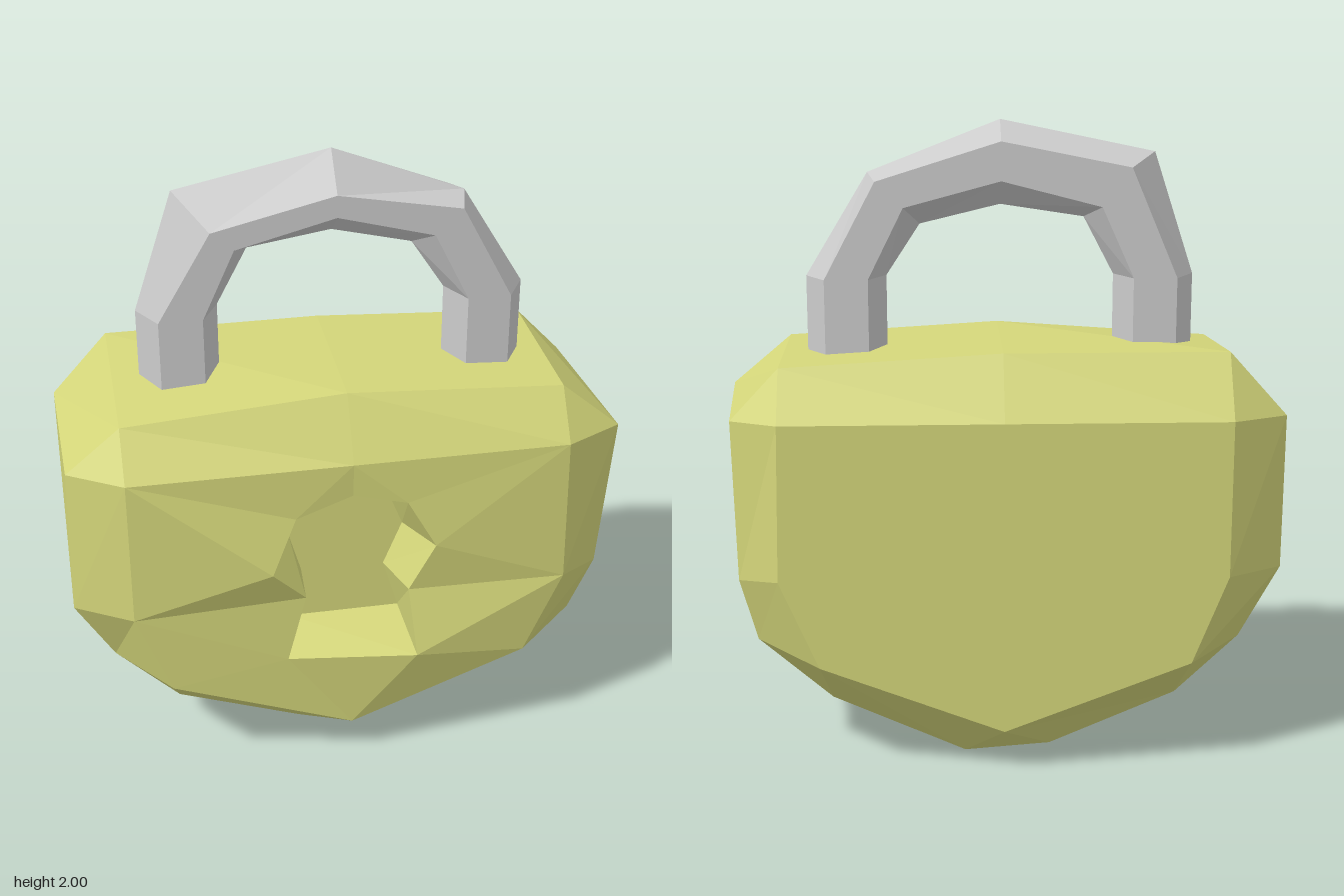
import * as THREE from 'three';

// Joins consecutive closed rings (equal point counts) with triangles; collapsed ones are skipped.
function loft(rings) {
  const out = [];
  const same = (p, q) => p.every((v, k) => Math.abs(v - q[k]) < 1e-6);
  const tri = (a, b, c) => {
    if (!same(a, b) && !same(b, c) && !same(a, c)) out.push(...a, ...b, ...c);
  };
  for (let r = 0; r + 1 < rings.length; r++) {
    const A = rings[r], B = rings[r + 1], n = A.length;
    for (let i = 0; i < n; i++) {
      const j = (i + 1) % n;
      tri(A[i], A[j], B[i]);
      tri(A[j], B[j], B[i]);
    }
  }
  return out;
}

function facetedMesh(name, color, positions) {
  const geo = new THREE.BufferGeometry();
  geo.setAttribute('position', new THREE.Float32BufferAttribute(positions, 3));
  geo.computeVertexNormals();
  const mesh = new THREE.Mesh(geo, new THREE.MeshStandardMaterial({ color, flatShading: true }));
  mesh.name = name;
  return mesh;
}

const pick = (ring, order) => order.map((i) => ring[i]);
const atZ = (ring, z) => ring.map(([x, y]) => [x, y, z]);
const point = (p, n) => Array.from({ length: n }, () => p);
const centre = (ring) => [0, 1, 2].map((k) => ring.reduce((s, p) => s + p[k], 0) / ring.length);

// Body: keyhole floor, keyhole rim, front face edge, side rings, back face edge
function makeBody() {
  const face = [[-0.69, 1.13], [0, 1.13], [0.68, 1.13], [0.69, 0.64],
    [0.57, 0.36], [0, 0.14], [-0.58, 0.36], [-0.69, 0.64]];
  const front = atZ(face, 0.35), back = atZ(face, -0.41);

  const rim = [[0, 1.02, 0.345], [0.17, 0.98, 0.355], [0.26, 0.82, 0.37], [0.18, 0.65, 0.35],
    [0.2, 0.43, 0.41], [-0.21, 0.43, 0.355], [-0.15, 0.66, 0.35], [-0.26, 0.79, 0.4], [-0.18, 0.96, 0.355]];
  const floor = atZ([[0, 0.98], [0.13, 0.95], [0.19, 0.8], [0.13, 0.65],
    [0.18, 0.48], [-0.18, 0.48], [-0.14, 0.66], [-0.18, 0.8], [-0.14, 0.95]], 0.19);

  const sideFront = [[-0.69, 1.27, 0.24], [0, 1.32, 0.24], [0.68, 1.28, 0.24], [0.87, 1.12, 0.24],
    [0.83, 0.61, 0.24], [0.78, 0.37, 0.16], [0.55, 0.2, 0.17], [0.12, 0, 0.13], [-0.15, 0.02, 0.14],
    [-0.55, 0.19, 0.17], [-0.75, 0.39, 0.17], [-0.87, 0.63, 0.23], [-0.86, 1.12, 0.23]];
  const sideBack = [[-0.69, 1.32, -0.29], [0, 1.32, -0.29], [0.68, 1.28, -0.29], [0.83, 1.12, -0.3],
    [0.82, 0.61, -0.29], [0.77, 0.4, -0.25], [0.54, 0.2, -0.25], [0.12, 0.01, -0.25], [-0.15, 0.03, -0.25],
    [-0.55, 0.2, -0.25], [-0.75, 0.39, -0.25], [-0.87, 0.63, -0.28], [-0.87, 1.12, -0.29]];

  // Which face corner meets each keyhole corner, and each side corner
  const faceToRim = [1, 1, 2, 2, 3, 3, 3, 4, 5, 5, 6, 7, 7, 7, 0, 0, 1];
  const rimToFace = [0, 1, 1, 2, 2, 3, 4, 4, 4, 5, 5, 5, 6, 7, 7, 8, 8];
  const faceToSide = [0, 1, 2, 2, 3, 4, 4, 5, 5, 6, 6, 7, 0];

  return facetedMesh('body', 0xd4d67a, [
    ...loft([point([0, 0.62, 0.19], 9), floor, rim]),
    ...loft([pick(rim, rimToFace), pick(front, faceToRim)]),
    ...loft([pick(front, faceToSide), sideFront, sideBack, pick(back, faceToSide)]),
    ...loft([back, point([0, 0.7, -0.41], 8)]),
  ]);
}

// Shackle: hexagonal sections swept from the -x leg over the arch to the +x leg
function makeShackle() {
  // outer ridge, front outer, front inner, inner ridge, back inner, back outer
  const section = (o, fo, fi, i, bo = fo) => [[...o, -0.03], [...fo, 0.075], [...fi, 0.075],
    [...i, -0.03], [...fi, -0.13], [...bo, -0.13]];
  const leg = (s, y) => section([s * 0.605, y], [s * 0.545, y], [s * 0.41, y], [s * 0.355, y]);
  const rings = [
    leg(-1, 1.27), leg(-1, 1.52),
    section([-0.48, 1.9], [-0.38, 1.8], [-0.31, 1.74], [-0.26, 1.7], [-0.4, 1.86]),
    section([0, 2], [0, 1.89], [0, 1.82], [0, 1.74], [0, 1.94]),
    section([0.41, 1.84], [0.385, 1.82], [0.3, 1.74], [0.25, 1.68]),
    leg(1, 1.52), leg(1, 1.26),
  ];
  const last = rings[rings.length - 1];
  return facetedMesh('shackle', 0xcccccc,
    loft([point(centre(rings[0]), 6), ...rings, point(centre(last), 6)]));
}

export function createModel() {
  const group = new THREE.Group();
  group.name = 'padlock';
  group.add(makeBody(), makeShackle());
  return group;
}
